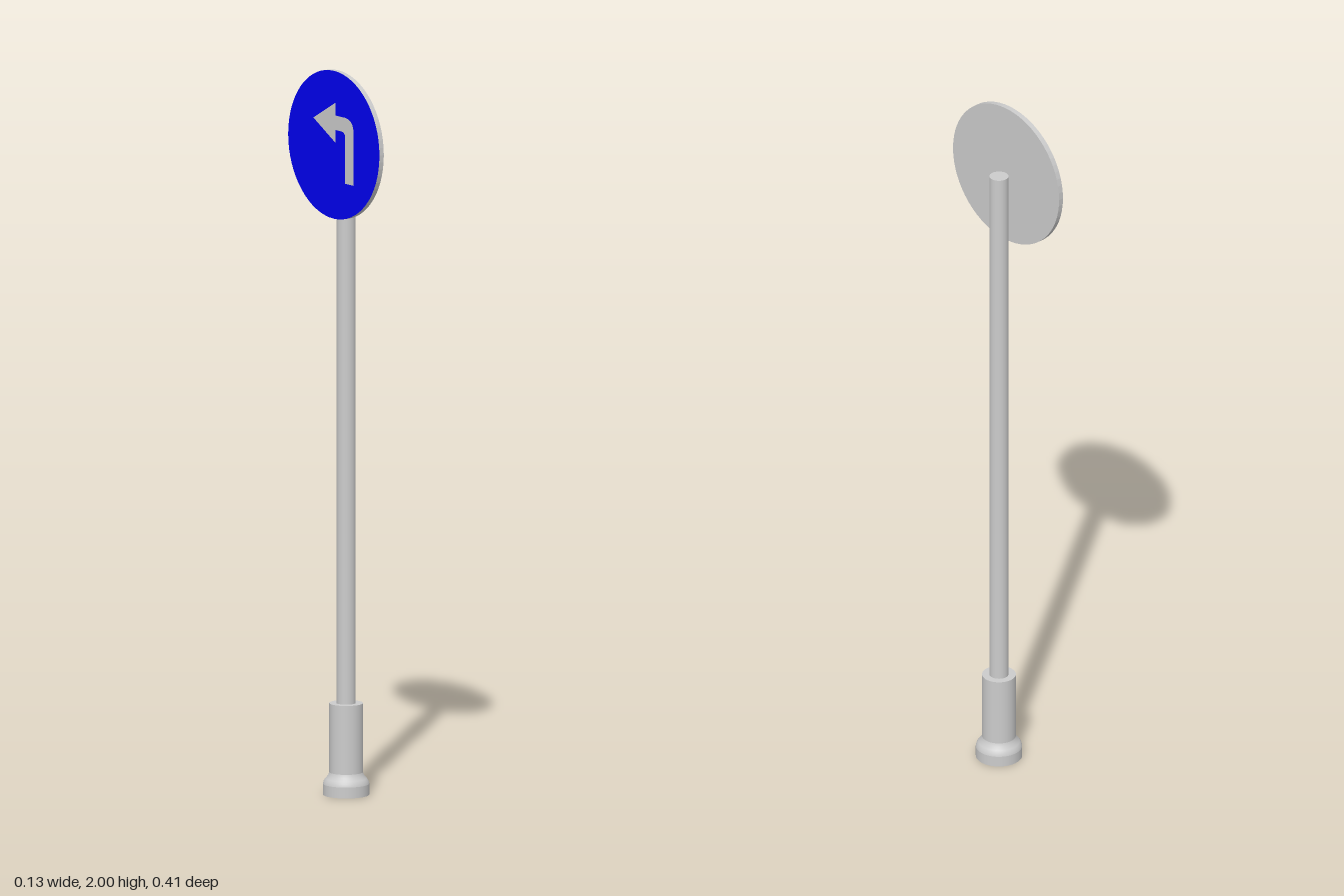
import * as THREE from 'three';

const grey = () => new THREE.MeshStandardMaterial({ color: 0xcccccc });

function add(group, name, geometry, material) {
  const mesh = new THREE.Mesh(geometry, material);
  mesh.name = name;
  group.add(mesh);
  return mesh;
}

// Lathe each run of profile points separately, so the joints stay crisp
function addTurned(group, name, runs) {
  const part = new THREE.Group();
  part.name = name;
  runs.forEach((run, i) => {
    const points = run.map(([r, y]) => new THREE.Vector2(r, y));
    add(part, `${name}Surface${i + 1}`, new THREE.LatheGeometry(points, 48), grey());
  });
  group.add(part);
}

export function createModel() {
  const model = new THREE.Group();
  model.name = 'roadSign';

  // Base sleeve with a flared foot
  addTurned(model, 'base', [
    [[0, 0], [0.063, 0]],
    [[0.063, 0], [0.063, 0.03]],
    [[0.063, 0.03], [0.061, 0.038], [0.056, 0.045], [0.049, 0.053], [0.046, 0.062]],
    [[0.046, 0.062], [0.046, 0.252]],
    [[0.046, 0.252], [0, 0.252]],
  ]);

  // Pole
  const pole = add(model, 'pole', new THREE.CylinderGeometry(0.026, 0.026, 1.55, 32), grey());
  pole.position.y = 1.025;

  // Round plate facing -x: grey rim and back, blue face
  const sign = new THREE.Group();
  sign.name = 'sign';
  sign.position.set(-0.0345, 1.796, 0);
  model.add(sign);
  const rim = grey();
  rim.flatShading = true;
  const blue = new THREE.MeshStandardMaterial({ color: 0x0000f0 });
  const plate = add(sign, 'plate', new THREE.CylinderGeometry(0.204, 0.204, 0.015, 64), [rim, blue, grey()]);
  plate.rotation.z = Math.PI / 2;

  // Turn arrow with a rounded elbow
  const shape = new THREE.Shape();
  shape.moveTo(-0.09, 0.062);
  shape.lineTo(0.01, 0.006);
  shape.lineTo(0.01, 0.042);
  shape.lineTo(0.035, 0.042);
  shape.quadraticCurveTo(0.052, 0.042, 0.052, 0.025);
  shape.lineTo(0.052, -0.1);
  shape.lineTo(0.09, -0.1);
  shape.lineTo(0.09, 0.04);
  shape.quadraticCurveTo(0.09, 0.082, 0.05, 0.082);
  shape.lineTo(0.01, 0.082);
  shape.lineTo(0.01, 0.118);
  shape.closePath();
  const arrow = add(sign, 'arrow', new THREE.ShapeGeometry(shape, 8), grey());
  arrow.rotation.y = -Math.PI / 2;
  arrow.position.x = -0.0085;

  return model;
}
